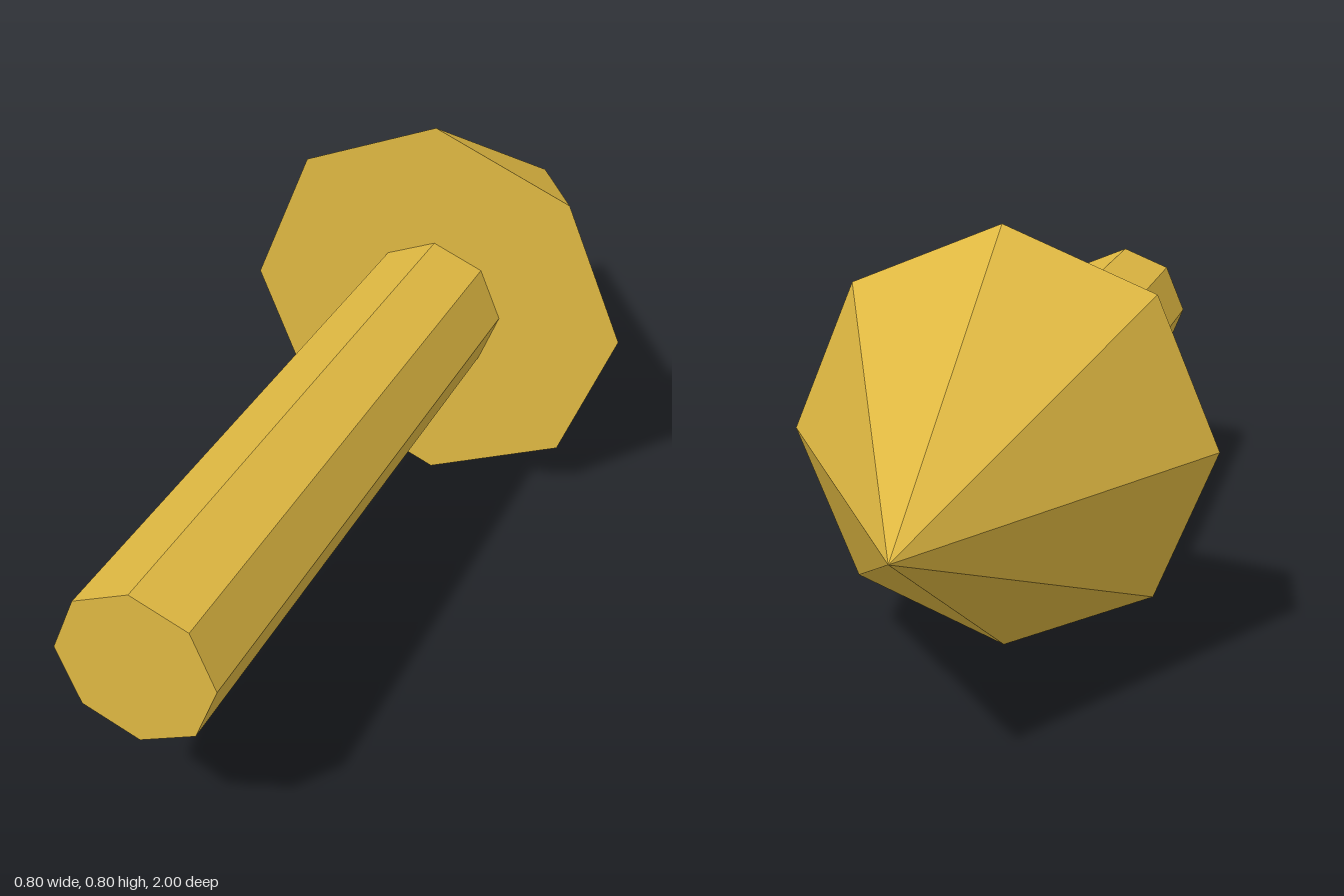
import * as THREE from 'three';

const SIDES = 8;
const AXIS_Y = 0.4; // height of the arrow's axis
const JOIN_Z = -0.275; // where the shaft meets the head

export function createModel() {
  const group = new THREE.Group();
  group.name = 'arrow';

  const gold = new THREE.MeshStandardMaterial({ color: 0xdeb741 });
  gold.name = 'gold';
  gold.flatShading = true;

  // Eight-sided piece lying along z, from zFront back to zBack
  function addPart(name, backRadius, frontRadius, zFront, zBack) {
    const geometry = new THREE.CylinderGeometry(backRadius, frontRadius, zFront - zBack, SIDES);
    geometry.rotateX(-Math.PI / 2);
    const mesh = new THREE.Mesh(geometry, gold);
    mesh.name = name;
    mesh.position.set(0, AXIS_Y, (zFront + zBack) / 2);
    group.add(mesh);
  }

  addPart('shaft', 0.145, 0.145, 1, JOIN_Z);
  addPart('arrowHead', 0, 0.4, JOIN_Z, -1);

  return group;
}
